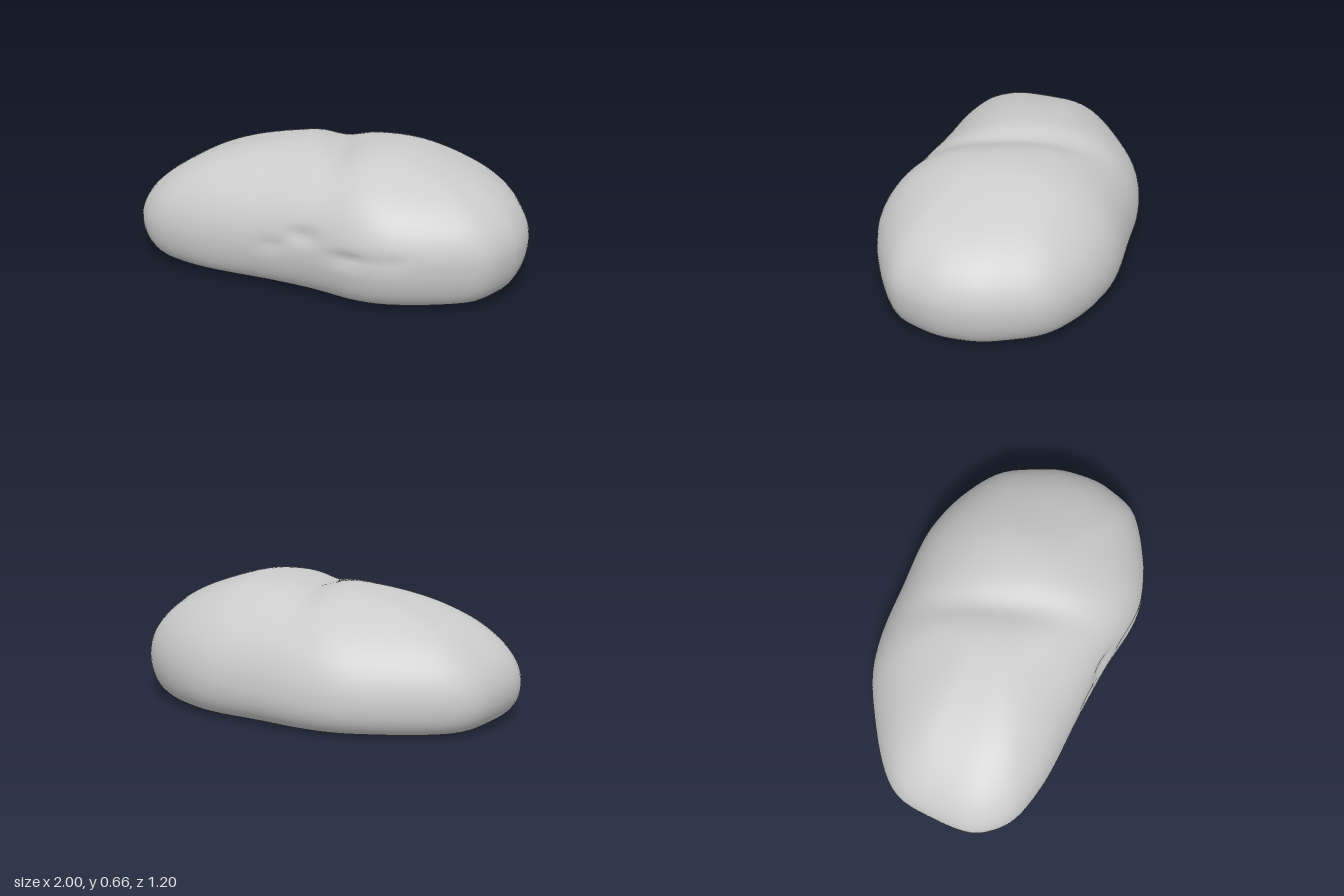
import * as THREE from 'three';

// Plan outline at the widest level: [x, z], from the left end round the back
const OUTLINE = [
  [1, 0.1], [0.98, -0.1], [0.93, -0.22], [0.82, -0.4], [0.63, -0.52], [0.45, -0.58],
  [0.3, -0.6], [0, -0.58], [-0.25, -0.56], [-0.45, -0.51], [-0.63, -0.41], [-0.9, -0.2],
  [-0.98, -0.08], [-1, 0.1], [-0.98, 0.33], [-0.92, 0.42], [-0.83, 0.49], [-0.6, 0.545],
  [-0.2, 0.555], [0.1, 0.57], [0.35, 0.6], [0.48, 0.59], [0.6, 0.55], [0.83, 0.42],
  [0.93, 0.33], [0.98, 0.2],
];
// Shallow dents low on the front: x, y, width, height, depth
const DENTS = [
  [0.06, 0.31, 0.08, 0.04, 0.02], [-0.1, 0.24, 0.07, 0.03, 0.012],
  [0.32, 0.25, 0.1, 0.03, 0.02], [0.53, 0.26, 0.07, 0.035, 0.01],
];
const AROUND = 112, UNDER = 10, DOME = 36, TOP = 0.642;
const bell = (d) => Math.exp(-d * d);

// One point of the rounded body on plan spoke (px, pz), ring number i
function bodyPoint(px, pz, i) {
  const r = Math.hypot(px, pz), c = px / r, s = pz / r;
  const widest = 0.195 + 0.03 * c + 0.03 * s;
  let k, y, lift = 0;
  if (i <= UNDER) {
    // rolled lower edge, deeper along the front and back
    const a = (i / UNDER) * Math.PI / 2;
    const inset = 0.12 + 0.06 * s * s;
    k = 1 - inset * (1 - Math.sin(a));
    y = 0.01 + (widest - 0.01) * (1 - Math.cos(a));
  } else {
    // dome, fuller towards the left end
    const a = ((i - UNDER) / DOME) * Math.PI / 2;
    const p = 2.25 + 0.3 * c + 0.2 * s + 0.2 * c * s;
    k = Math.cos(a);
    lift = Math.sqrt(Math.max(0, 1 - k ** p));
    y = widest + (TOP - widest) * lift;
  }
  let x = px * k, z = pz * k;
  // slanting crease over the top, with a slight swell beside it
  const d = x - 0.01 - 0.35 * z;
  const swell = 0.026 * bell((x - 0.35) / 0.2) * bell(z / 0.4);
  const crease = 0.035 * bell(d / 0.1) * bell(z / 0.45);
  y += lift * (swell - crease);
  if (z > 0.3) {
    for (const [dx, dy, w, h, depth] of DENTS) z -= depth * bell((x - dx) / w) * bell((y - dy) / h);
  }
  return [x, y, z];
}

function bodyGeometry() {
  const curve = new THREE.CatmullRomCurve3(
    OUTLINE.map(([x, z]) => new THREE.Vector3(x, 0, z)), true, 'centripetal');
  const spokes = curve.getSpacedPoints(AROUND).slice(0, AROUND);
  const rings = UNDER + DOME;
  const position = [], index = [];
  for (let i = 0; i < rings; i++) {
    for (const q of spokes) position.push(...bodyPoint(q.x, q.z, i));
  }
  const apex = rings * AROUND, base = apex + 1;
  position.push(...bodyPoint(1, 0, rings), 0, 0, 0);
  for (let j = 0; j < AROUND; j++) {
    const n = (j + 1) % AROUND;
    for (let i = 0; i < rings - 1; i++) {
      const a = i * AROUND + j, b = i * AROUND + n;
      index.push(a, b, b + AROUND, a, b + AROUND, a + AROUND);
    }
    const top = (rings - 1) * AROUND;
    index.push(top + j, top + n, apex, n, j, base);
  }
  const geometry = new THREE.BufferGeometry();
  geometry.setAttribute('position', new THREE.Float32BufferAttribute(position, 3));
  geometry.setIndex(index);
  geometry.computeVertexNormals();
  return geometry;
}

export function createModel() {
  const model = new THREE.Group();
  model.name = 'boulder';
  const body = new THREE.Mesh(bodyGeometry(), new THREE.MeshStandardMaterial({ color: 0xcccccc }));
  body.name = 'boulderBody';
  model.add(body);
  return model;
}
